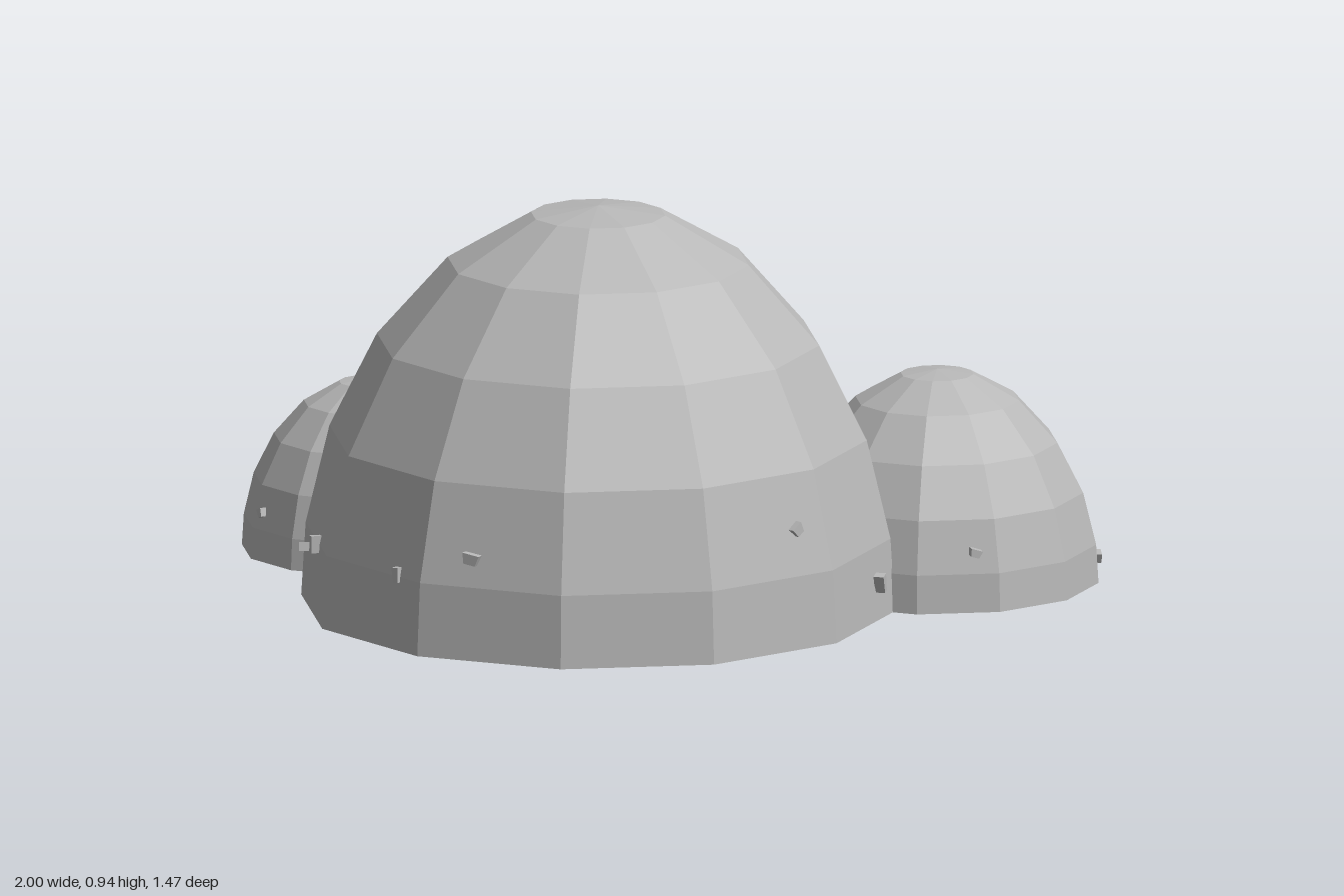
import * as THREE from 'three';

// Unit dome outline: [radius, height] from the rim to the peak
const PROFILE = [[1, 0], [0.985, 0.182], [0.905, 0.428], [0.745, 0.663], [0.507, 0.86], [0.226, 0.979], [0, 1]];

export function createModel() {
  const group = new THREE.Group();
  const stone = new THREE.MeshStandardMaterial({ color: 0xb8b8b8, flatShading: true });
  stone.name = 'grey stone';

  // Twelve-sided closed dome
  function dome(name, x, z, radius, height) {
    const points = [new THREE.Vector2(0, 0)];
    for (const [r, y] of PROFILE) points.push(new THREE.Vector2(r * radius, y * height));
    const mesh = new THREE.Mesh(new THREE.LatheGeometry(points, 12), stone);
    mesh.name = name;
    mesh.position.set(x, 0, z);
    group.add(mesh);
  }
  dome('mainBoulder', -0.115, 0.045, 0.686, 0.935);
  dome('leftBoulder', 0.625, -0.3, 0.373, 0.493);
  dome('rightBoulder', -0.71, -0.447, 0.29, 0.4);

  // Small chips on the boulders: x, y, z, width, height, tilt, boulder centre x, z
  const chips = new THREE.Group();
  chips.name = 'stoneChips';
  group.add(chips);
  const main = [-0.115, 0.045], left = [0.625, -0.3], right = [-0.71, -0.447];
  const places = [
    [-0.74, 0.17, 0.265, 0.022, 0.04, 0.1, main],
    [-0.785, 0.13, 0.12, 0.012, 0.02, 0.3, main],
    [-0.51, 0.175, 0.57, 0.02, 0.035, 0.1, main],
    [-0.33, 0.235, 0.65, 0.042, 0.025, -0.15, main],
    [0.39, 0.275, 0.43, 0.03, 0.024, 0.6, main],
    [0.55, 0.088, 0.145, 0.022, 0.042, 0.25, main],
    [-0.2, 0.29, -0.575, 0.02, 0.018, 0.3, main],
    [0.755, 0.14, 0.035, 0.028, 0.018, -0.3, left],
    [0.98, 0.04, -0.395, 0.026, 0.024, 0.3, left],
    [-0.93, 0.112, -0.29, 0.02, 0.02, 0.4, right],
  ];
  for (const [x, y, z, w, h, tilt, [cx, cz]] of places) {
    // Tapered block facing outwards
    const geometry = new THREE.BoxGeometry(w, h, 0.024);
    const p = geometry.attributes.position;
    for (let i = 0; i < p.count; i++) {
      if (p.getY(i) < 0) p.setX(i, p.getX(i) * 0.7);
    }
    const chip = new THREE.Mesh(geometry, stone);
    chip.name = 'stoneChip';
    chip.position.set(x, y, z);
    chip.rotation.set(0, Math.atan2(x - cx, z - cz), tilt);
    chips.add(chip);
  }
  return group;
}
